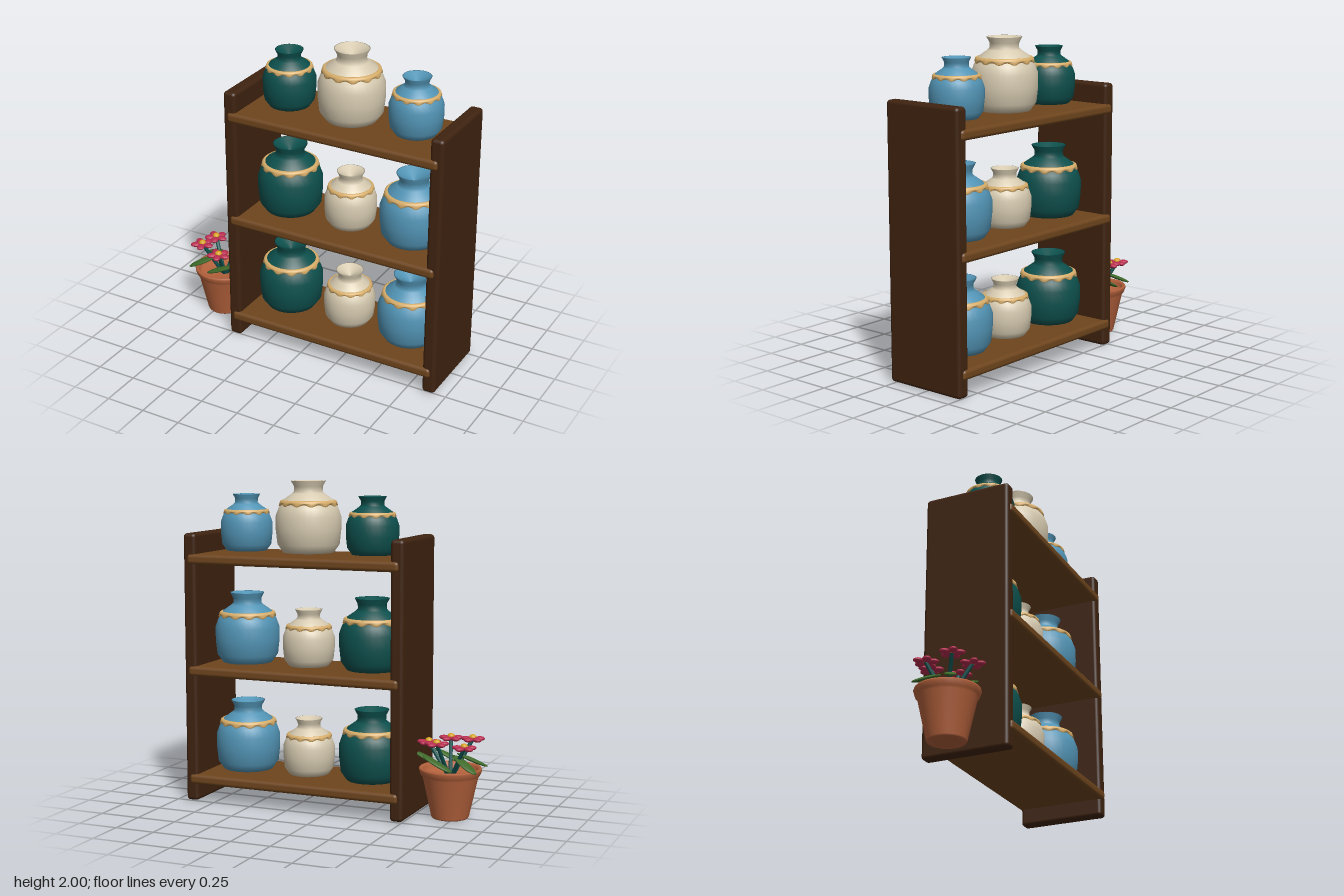
import * as THREE from 'three';
import { RoundedBoxGeometry } from 'three/addons/geometries/RoundedBoxGeometry.js';

const material = (name, color) => {
  const m = new THREE.MeshStandardMaterial({ color });
  m.name = name;
  return m;
};

export function createModel() {
  const model = new THREE.Group();
  model.name = 'vaseShelf';

  const darkWood = material('dark wood', 0x3f2310);
  const shelfWood = material('shelf wood', 0x6e451d);
  const teal = material('deep teal', 0x0d504d);
  const cream = material('cream glaze', 0xd6cab0);
  const blue = material('sky blue glaze', 0x5294b5);
  const tan = material('tan glaze', 0xd8ae6a);
  const terracotta = material('terracotta', 0xb5623c);
  const petalRed = material('petal crimson', 0xb92c50);
  const yellow = material('pollen yellow', 0xd8a01f);
  const green = material('leaf green', 0x3f6a2a);

  const add = (parent, name, geometry, mat, x = 0, y = 0, z = 0) => {
    const mesh = new THREE.Mesh(geometry, mat);
    mesh.name = name;
    mesh.position.set(x, y, z);
    parent.add(mesh);
    return mesh;
  };
  const lathe = (pts, sides) =>
    new THREE.LatheGeometry(pts.map(([r, y]) => new THREE.Vector2(r, y)), sides);

  // Upright end panels and three boards
  const panelGeo = new RoundedBoxGeometry(0.083, 1.67, 0.545, 3, 0.022);
  add(model, 'rightPanel', panelGeo, darkWood, -0.47, 0.845, 0);
  add(model, 'leftPanel', panelGeo, darkWood, 0.89, 0.845, 0);
  const boardGeo = new RoundedBoxGeometry(1.385, 0.063, 0.57, 3, 0.022);
  const boardHeights = [0.148, 0.83, 1.523];
  boardHeights.forEach((y) => add(model, 'shelfBoard', boardGeo, shelfWood, 0.21, y, 0));

  // Vase body with a flared neck and a shallow hollow mouth
  const bodyGeo = lathe([
    [0, 0], [0.155, 0], [0.19, 0.05], [0.2, 0.14], [0.2, 0.22], [0.182, 0.27],
    [0.152, 0.32], [0.098, 0.358], [0.087, 0.37], [0.088, 0.4], [0.106, 0.434],
    [0.099, 0.434], [0, 0.375],
  ], 32);

  // Glaze collar whose lower edge hangs in scallops
  const bandGeo = new THREE.TorusGeometry(0.16, 0.015, 10, 72).rotateX(Math.PI / 2);
  const bp = bandGeo.attributes.position;
  for (let i = 0; i < bp.count; i++) {
    const y = bp.getY(i);
    if (y < -0.001) {
      const a = Math.atan2(bp.getZ(i), bp.getX(i));
      const drop = 0.5 + 0.5 * Math.cos(a * 12);
      bp.setXYZ(i, bp.getX(i) * (1 + 0.05 * drop), y * (0.8 + 1.1 * drop), bp.getZ(i) * (1 + 0.05 * drop));
    }
  }
  bandGeo.computeVertexNormals();

  const addVase = (name, mat, x, y, scale) => {
    const vase = new THREE.Group();
    vase.name = name;
    add(vase, 'vaseBody', bodyGeo, mat);
    add(vase, 'vaseCollar', bandGeo, tan, 0, 0.303, 0);
    vase.position.set(x, y, 0);
    vase.scale.setScalar(scale);
    model.add(vase);
  };
  [0.19, 0.87, 1.567].forEach((y, row) => {
    const outer = row === 2 ? 0.8 : 1;
    const middle = row === 2 ? 1 : 0.8;
    addVase('tealVase', teal, -0.21, y, outer);
    addVase('creamVase', cream, 0.21, y, middle);
    addVase('blueVase', blue, 0.63, y, outer);
  });

  // Flower pot with a thick rim
  const plant = new THREE.Group();
  plant.name = 'pottedFlowers';
  plant.position.x = -0.717;
  model.add(plant);
  add(plant, 'flowerPot', lathe([
    [0, 0.003], [0.108, 0.003], [0.114, 0.012], [0.168, 0.255], [0.18, 0.268], [0.19, 0.298],
    [0.186, 0.309], [0.172, 0.309], [0.163, 0.295], [0.155, 0.265], [0, 0.255],
  ], 24), terracotta);

  // Five blooms, each on its own stem with a leaf beneath
  const petalGeo = new THREE.SphereGeometry(1, 12, 8).scale(0.034, 0.014, 0.025);
  const centreGeo = new THREE.SphereGeometry(0.023, 12, 8).scale(1, 0.8, 1);
  const leafGeo = new THREE.SphereGeometry(1, 14, 8).scale(0.105, 0.012, 0.036);
  const heights = [0.452, 0.46, 0.475, 0.45, 0.472];
  const leafYaw = [0, 0.1, 0.5, -0.5, -0.1];
  heights.forEach((h, i) => {
    const a = (i * Math.PI * 2) / 5;
    const cx = Math.cos(a), cz = Math.sin(a);

    const path = new THREE.LineCurve3(
      new THREE.Vector3(cx * 0.01, 0.25, cz * 0.01),
      new THREE.Vector3(cx * 0.138, h, cz * 0.138));
    add(plant, 'stem', new THREE.TubeGeometry(path, 1, 0.012, 8), teal);

    const flower = new THREE.Group();
    flower.name = 'flower';
    flower.position.set(cx * 0.138, h, cz * 0.138);
    for (let p = 0; p < 5; p++) {
      const b = (p * Math.PI * 2) / 5;
      const petal = add(flower, 'petal', petalGeo, petalRed, Math.cos(b) * 0.042, 0, Math.sin(b) * 0.042);
      petal.rotation.y = -b;
    }
    add(flower, 'flowerCentre', centreGeo, yellow, 0, 0.01, 0);
    plant.add(flower);

    const leaf = add(plant, 'leaf', leafGeo, green, cx * 0.14, 0.348, cz * 0.125);
    leaf.rotation.set(0, leafYaw[i], 0.42);
  });

  return model;
}
